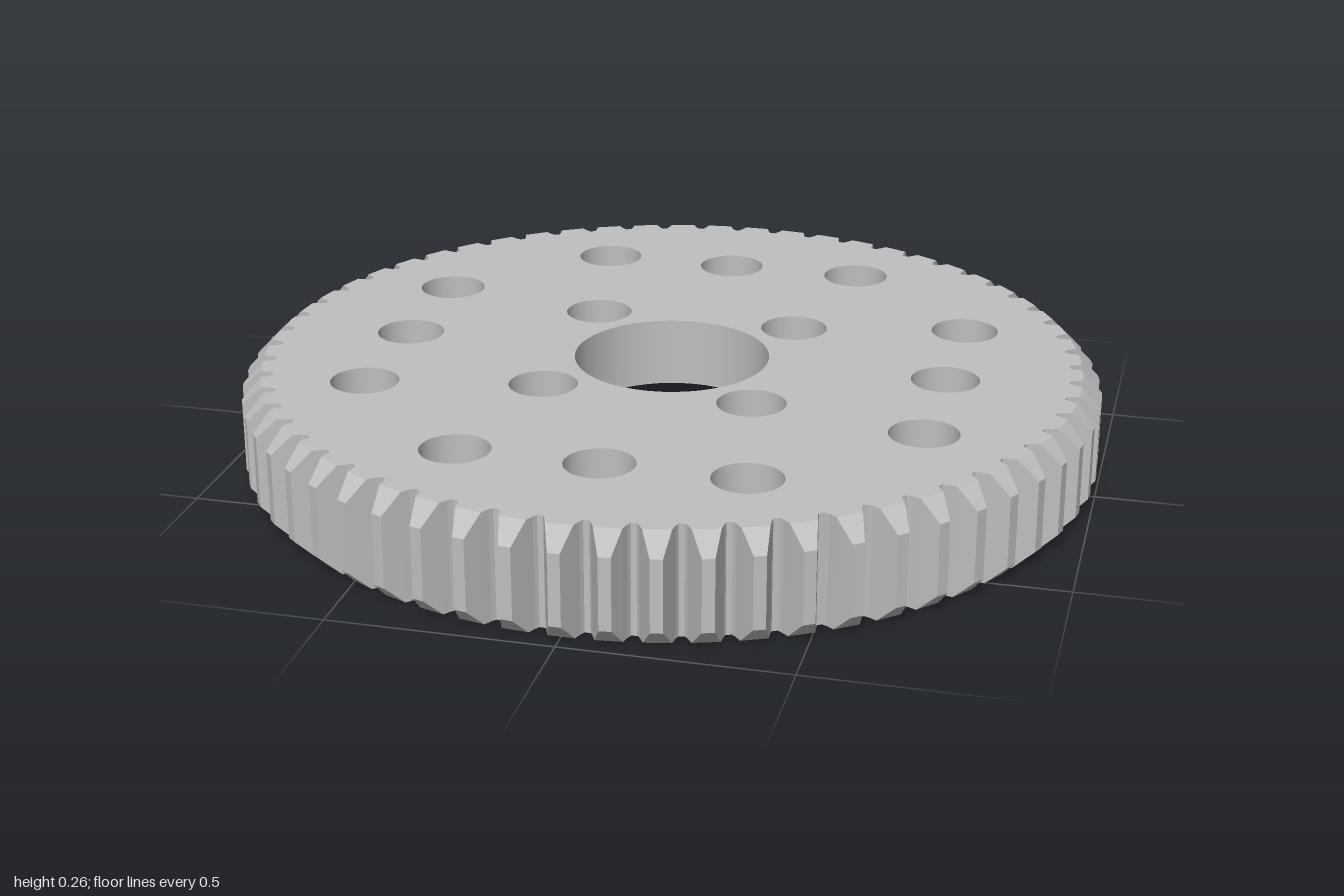
import * as THREE from 'three';

const H = 0.256;        // thickness
const TEETH = 60;
const CHAMFER_R = 0.955; // radius where the tooth chamfer starts
const RECESS_R = 0.48, RECESS_Y = 0.093;
const BORE_R = 0.228, HOLE_R = 0.079;

// one flank of a tooth, root to tip: [radius, half width]
const FLANK = [[0.926, 0.042], [0.936, 0.0365], [CHAMFER_R, 0.030], [0.97, 0.0245], [1.0, 0.0135]];

export function createModel() {
  const group = new THREE.Group();
  group.name = 'spurGear';
  const metal = new THREE.MeshStandardMaterial({ color: 0xbfbfbf });
  metal.name = 'light grey';

  const add = (name, geometry, y = 0, x = 0, z = 0) => {
    const mesh = new THREE.Mesh(geometry, metal);
    mesh.name = name;
    mesh.position.set(x, y, z);
    group.add(mesh);
  };

  // hole positions
  const innerHoles = [], outerHoles = [];
  for (const s of [-1, 1]) {
    for (const t of [-1, 1]) innerHoles.push([s * 0.243, t * 0.243]);
    for (const t of [-1, 0, 1]) outerHoles.push([t * 0.322, s * 0.645], [s * 0.645, t * 0.322]);
  }

  // tooth outlines, counter-clockwise seen from above
  const teeth = [];
  for (let i = 0; i < TEETH; i++) {
    const a = (i / TEETH) * Math.PI * 2;
    const at = (side) => ([r, w]) => ({ r, x: r * Math.cos(a + side * w / r), z: -r * Math.sin(a + side * w / r) });
    teeth.push([...FLANK.map(at(-1)), ...FLANK.map(at(1)).reverse()]);
  }

  // toothed rim: side walls and the slanted chamfers above and below
  const pos = [];
  const drop = (p) => Math.max(0, p.r - CHAMFER_R);
  const top = (p) => [p.x, H - drop(p), p.z];
  const bottom = (p) => [p.x, drop(p), p.z];
  const tri = (a, b, c) => pos.push(...a, ...b, ...c);
  const outline = teeth.flat();
  outline.forEach((p, i) => {
    const q = outline[(i + 1) % outline.length];
    tri(bottom(p), bottom(q), top(q));
    tri(bottom(p), top(q), top(p));
  });
  for (const tooth of teeth) {
    const tip = tooth.filter((p) => p.r >= CHAMFER_R);
    for (let i = 1; i < tip.length - 1; i++) {
      tri(top(tip[0]), top(tip[i]), top(tip[i + 1]));
      tri(bottom(tip[0]), bottom(tip[i + 1]), bottom(tip[i]));
    }
  }
  const rim = new THREE.BufferGeometry();
  rim.setAttribute('position', new THREE.Float32BufferAttribute(pos, 3));
  rim.computeVertexNormals();
  add('toothedRim', rim);

  // flat faces with holes
  const circle = (r, x = 0, y = 0) => new THREE.Path().absarc(x, y, r, 0, Math.PI * 2, true);
  const holesAt = (list) => list.map(([x, z]) => circle(HOLE_R, x, z));
  const gearShape = () => new THREE.Shape(
    outline.filter((p) => p.r <= CHAMFER_R).map((p) => new THREE.Vector2(p.x, -p.z)));
  const face = (shape, holes, up) => {
    shape.holes.push(...holes);
    return new THREE.ShapeGeometry(shape, 24).rotateX(up ? -Math.PI / 2 : Math.PI / 2);
  };
  const bore = circle(BORE_R);
  add('topFace', face(gearShape(), [bore, ...holesAt(innerHoles), ...holesAt(outerHoles)], true), H);
  add('bottomFace', face(gearShape(), [circle(RECESS_R), ...holesAt(outerHoles)], false));
  const disc = new THREE.Shape().absarc(0, 0, RECESS_R, 0, Math.PI * 2, false);
  add('recessFloor', face(disc, [bore, ...holesAt(innerHoles)], false), RECESS_Y);

  // inward-facing walls (profile runs downward)
  const wall = (r, y0, y1) => new THREE.LatheGeometry([new THREE.Vector2(r, y1), new THREE.Vector2(r, y0)], 48);
  add('recessWall', wall(RECESS_R, 0, RECESS_Y));
  add('boreWall', wall(BORE_R, RECESS_Y, H));
  const innerWall = wall(HOLE_R, RECESS_Y, H), outerWall = wall(HOLE_R, 0, H);
  for (const [x, z] of innerHoles) add('innerHoleWall', innerWall, 0, x, z);
  for (const [x, z] of outerHoles) add('outerHoleWall', outerWall, 0, x, z);

  return group;
}
